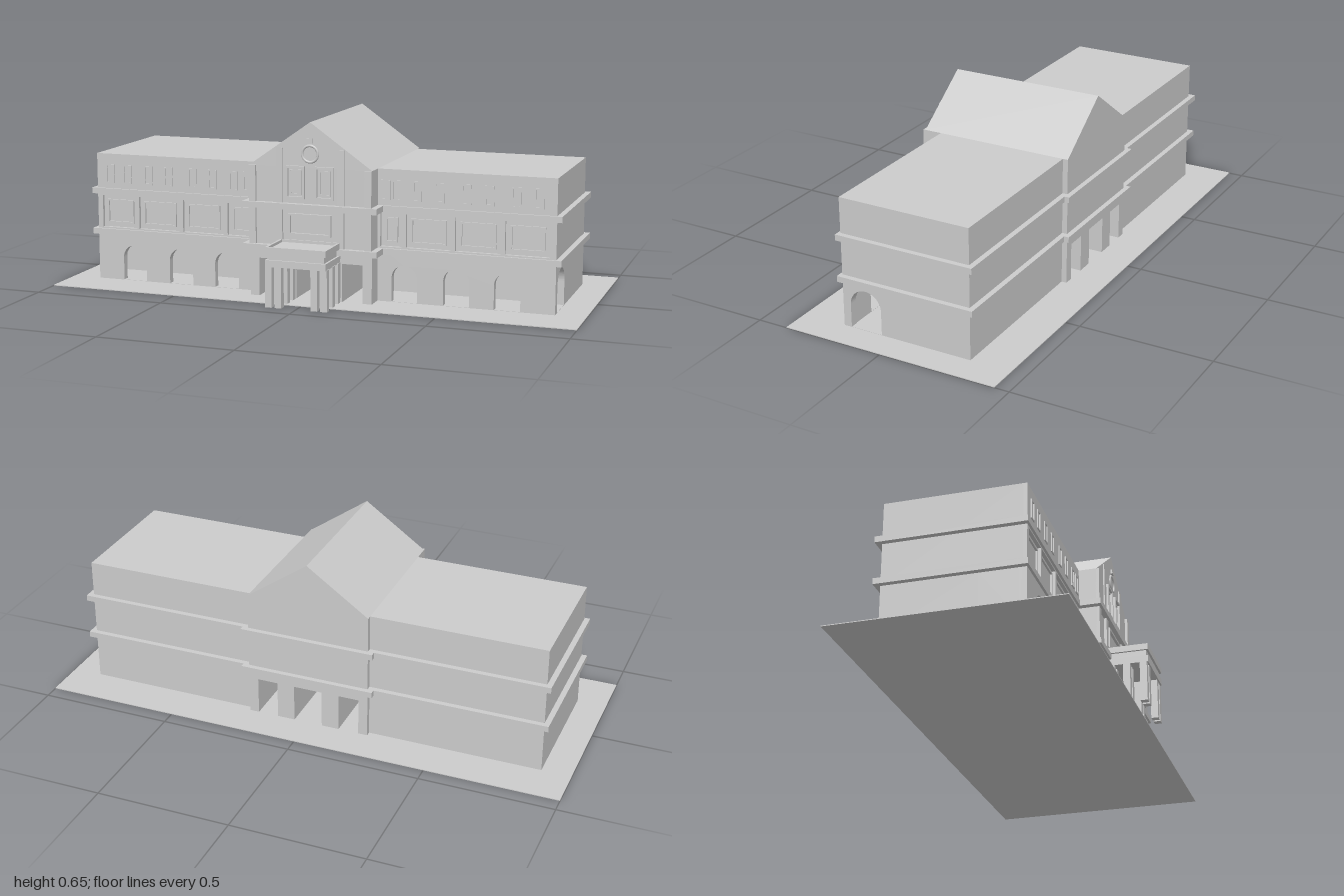
import * as THREE from 'three';

const mat = new THREE.MeshStandardMaterial({ color: 0xcccccc });

export function createModel() {
  const root = new THREE.Group();

  const add = (name, geo, parent = root) => {
    const mesh = new THREE.Mesh(geo, mat);
    mesh.name = name;
    parent.add(mesh);
    return mesh;
  };
  // box given by its two extreme corners
  const box = (name, x0, x1, y0, y1, z0, z1, parent) => {
    const mesh = add(name, new THREE.BoxGeometry(x1 - x0, y1 - y0, z1 - z0), parent);
    mesh.position.set((x0 + x1) / 2, (y0 + y1) / 2, (z0 + z1) / 2);
    return mesh;
  };
  const poly = (pts, Type = THREE.Shape) => new Type(pts.map(p => new THREE.Vector2(...p)));
  const rect = (x0, x1, y0, y1, Type) => poly([[x0, y0], [x1, y0], [x1, y1], [x0, y1]], Type);
  const extrude = (name, shape, z0, z1, parent) => {
    const geo = new THREE.ExtrudeGeometry(shape, { depth: z1 - z0, bevelEnabled: false, curveSegments: 16 });
    geo.translate(0, 0, z0);
    return add(name, geo, parent);
  };
  // outline of a round-headed doorway
  const archHole = (c, r, top) => {
    const p = new THREE.Path();
    p.moveTo(c - r, 0.004);
    p.lineTo(c - r, top - r);
    p.absarc(c, top - r, r, Math.PI, 0, true);
    p.lineTo(c + r, 0.004);
    p.closePath();
    return p;
  };
  // raised rectangular window surround
  const frame = (name, x0, x1, y0, y1, t, z0, z1, parent) => {
    const s = rect(x0, x1, y0, y1);
    s.holes.push(rect(x0 + t, x1 - t, y0 + t, y1 - t, THREE.Path));
    return extrude(name, s, z0, z1, parent);
  };

  box('groundPlate', -1, 1, 0, 0.003, -0.445, 0.385);

  // Wings with an arcaded gallery behind the front wall
  const wings = [
    { name: 'rightWing', s: -1, arches: [-0.738, -0.545, -0.358],
      bays: [[-0.87, -0.727], [-0.717, -0.55], [-0.535, -0.37], [-0.353, -0.245]] },
    { name: 'leftWing', s: 1, arches: [0.337, 0.53, 0.717],
      bays: [[0.245, 0.326], [0.342, 0.508], [0.524, 0.69], [0.706, 0.866]] },
  ];
  for (const { name, s, arches, bays } of wings) {
    const g = new THREE.Group();
    g.name = name;
    root.add(g);
    const span = (a, b) => (s > 0 ? [a, b] : [-b, -a]);
    const [x0, x1] = span(0.2, 0.89);

    box('groundFloor', x0, x1, 0, 0.18, -0.29, 0.05, g);
    box('upperFloors', x0, x1, 0.175, 0.49, -0.29, 0.204, g);

    // front wall, pierced by arches and recessed window bays
    const wall = rect(x0, x1, 0, 0.49);
    arches.forEach(c => wall.holes.push(archHole(c, 0.048, 0.14)));
    bays.forEach(([a, b]) => wall.holes.push(rect(a, b, 0.206, 0.329, THREE.Path)));
    extrude('frontWall', wall, 0.19, 0.217, g);

    // window surrounds of both upper storeys
    for (const [a, b] of bays) {
      frame('bayWindow', a + 0.017, b - 0.017, 0.222, 0.313, 0.006, 0.2, 0.211, g);
      const mid = (a + b) / 2, gap = (b - a) / 4;
      for (const c of [mid - gap, mid + gap]) {
        frame('topWindow', c - 0.017, c + 0.017, 0.378, 0.45, 0.005, 0.21, 0.221, g);
      }
    }

    // gallery end wall; only the left end has a doorway
    const end = rect(-0.19, -0.05, 0, 0.178);
    if (s > 0) end.holes.push(archHole(-0.125, 0.062, 0.155));
    const endWall = extrude('galleryEnd', end, 0, 0.03, g);
    endWall.rotation.y = Math.PI / 2;
    endWall.position.x = s > 0 ? 0.86 : -0.89;

    // string courses
    for (const y of [0.178, 0.335]) {
      const [b0, b1] = span(0.2, 0.91);
      box('stringCourse', b0, b1, y, y + 0.022, -0.31, 0.226, g);
    }
  }

  // Central gabled block with three passages running right through it
  const centre = new THREE.Group();
  centre.name = 'centralBlock';
  root.add(centre);
  const h = 0.145;
  extrude('gabledBody', poly([
    [-0.235, 0], [-0.2, 0], [-0.2, h], [-0.122, h], [-0.122, 0],
    [-0.055, 0], [-0.055, h], [0.055, h], [0.055, 0],
    [0.122, 0], [0.122, h], [0.2, h], [0.2, 0],
    [0.235, 0], [0.235, 0.49], [0, 0.655], [-0.235, 0.49],
  ]), -0.31, 0.283, centre);
  for (const y of [0.178, 0.335]) {
    box('centralStringCourse', -0.258, 0.258, y, y + 0.022, -0.329, 0.303, centre);
  }

  // pilasters and twin windows
  for (const s of [-1, 1]) {
    for (const [c, w, top] of [[0.222, 0.026, 0.49], [0.118, 0.026, 0.56]]) {
      box('lowerPilaster', s * c - w / 2, s * c + w / 2, 0.2, 0.335, 0.28, 0.293, centre);
      box('upperPilaster', s * c - w / 2, s * c + w / 2, 0.357, top, 0.28, top > 0.5 ? 0.288 : 0.293, centre);
    }
    frame('tallWindow', s * 0.056 - 0.036, s * 0.056 + 0.036, 0.375, 0.495, 0.008, 0.28, 0.293, centre);
    frame('tallWindowInner', s * 0.056 - 0.022, s * 0.056 + 0.022, 0.389, 0.481, 0.005, 0.28, 0.287, centre);
  }
  frame('centralPanel', -0.082, 0.082, 0.24, 0.32, 0.008, 0.28, 0.293, centre);
  const roundWindow = add('roundWindow', new THREE.TorusGeometry(0.03, 0.005, 8, 32), centre);
  roundWindow.position.set(0, 0.54, 0.284);
  box('keystone', -0.012, 0.012, 0.58, 0.597, 0.28, 0.29, centre);

  // Entrance portico on square columns
  const portico = new THREE.Group();
  portico.name = 'portico';
  root.add(portico);
  for (const z of [0.303, 0.36, 0.422]) {
    for (const x of [-0.105, -0.068, 0.068, 0.105]) {
      box('column', x - 0.0125, x + 0.0125, 0, 0.152, z - 0.013, z + 0.013, portico);
    }
  }
  box('architrave', -0.115, 0.115, 0.15, 0.175, 0.28, 0.44, portico);
  box('frieze', -0.107, 0.107, 0.174, 0.201, 0.28, 0.432, portico);
  box('porticoRoof', -0.113, 0.113, 0.199, 0.212, 0.28, 0.438, portico);
  const rim = frame('parapet', -0.115, 0.115, -0.44, -0.28, 0.009, 0.199, 0.222, portico);
  rim.rotation.x = -Math.PI / 2;

  return root;
}
